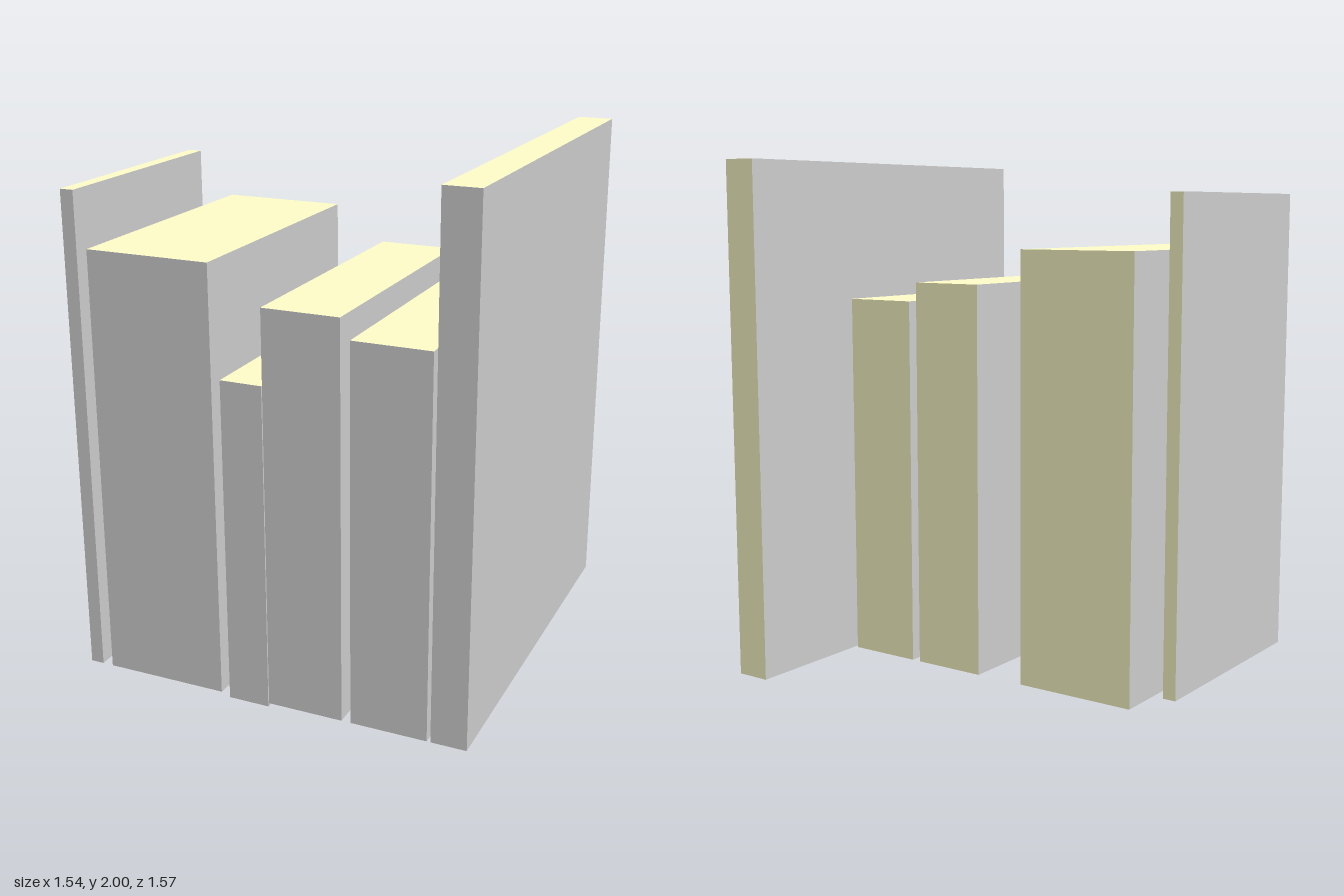
import * as THREE from 'three';

export function createModel() {
  const model = new THREE.Group();
  model.name = 'bookRow';

  const cover = new THREE.MeshStandardMaterial({ color: 0xcccccc });
  const pages = new THREE.MeshStandardMaterial({ color: 0xfffdc8 });

  // Covers on both sides, pages at top, bottom and back, spine at the front
  const faces = [cover, cover, pages, pages, cover, pages];

  function addBook(name, x0, x1, y0, y1, z0, z1) {
    const book = new THREE.Mesh(new THREE.BoxGeometry(x1 - x0, y1 - y0, z1 - z0), faces);
    book.position.set((x0 + x1) / 2, (y0 + y1) / 2, (z0 + z1) / 2);
    book.name = name;
    model.add(book);
  }

  // Upright books from the model's right to its left
  const front = 0.787;
  addBook('thinBook', -0.77, -0.718, 0.03, 1.878, -0.1, front);
  addBook('thickBook', -0.676, -0.197, 0.03, 1.673, -0.272, front);
  addBook('smallBook', -0.175, -0.014, 0, 1.253, 0.074, 0.765);
  addBook('mediumBook', 0.001, 0.293, 0.03, 1.539, -0.272, front);
  addBook('shortBook', 0.328, 0.621, 0.03, 1.465, -0.272, front);
  addBook('largeBook', 0.635, 0.77, 0.03, 2, -0.787, front);

  return model;
}
